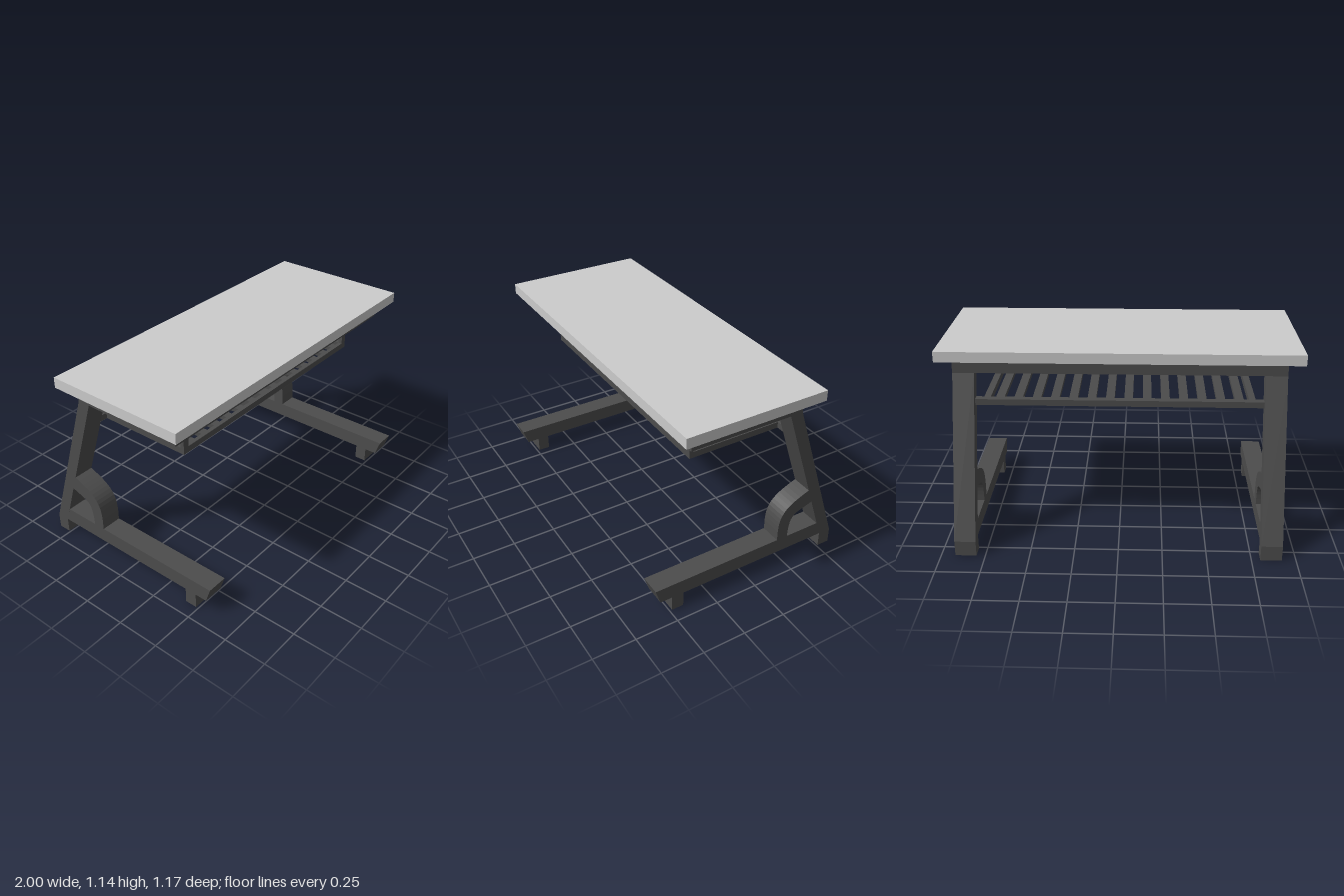
import * as THREE from 'three';

const dark = new THREE.MeshStandardMaterial({ color: 0x4c4c4c });
const grey = new THREE.MeshStandardMaterial({ color: 0xcccccc });

// Box given by its minimum and maximum on each axis
function box(name, [x0, x1], [y0, y1], [z0, z1], material = dark) {
  const mesh = new THREE.Mesh(new THREE.BoxGeometry(x1 - x0, y1 - y0, z1 - z0), material);
  mesh.name = name;
  mesh.position.set((x0 + x1) / 2, (y0 + y1) / 2, (z0 + z1) / 2);
  return mesh;
}

// Profile drawn in (z, y), extruded across x from -width/2 to width/2
function sidePiece(name, shape, width) {
  const geometry = new THREE.ExtrudeGeometry(shape, { depth: width, bevelEnabled: false, curveSegments: 12 });
  geometry.translate(0, 0, -width / 2);
  geometry.rotateY(-Math.PI / 2);
  const mesh = new THREE.Mesh(geometry, dark);
  mesh.name = name;
  return mesh;
}

const polygon = (points) => new THREE.Shape(points.map(([z, y]) => new THREE.Vector2(z, y)));

function sideFrame(name, x) {
  const frame = new THREE.Group();
  frame.name = name;
  frame.position.x = x;
  const width = 0.12;
  const half = [-width / 2, width / 2];

  // Leaning leg with its bottom corner over the rear foot
  frame.add(sidePiece('leg', polygon([
    [-0.18, 1.08], [-0.285, 1.08], [-0.285, 0.99], [-0.585, 0.09], [-0.51, 0.09], [-0.21, 0.99],
  ]), width));

  // Floor beam with a slanted front end
  frame.add(sidePiece('floorBeam', polygon([
    [0.585, 0.178], [-0.48, 0.178], [-0.51, 0.09], [0.556, 0.09],
  ]), width));

  // Curved brace between beam and leg
  const brace = new THREE.Shape();
  brace.moveTo(-0.197, 0.17);
  brace.lineTo(-0.197, 0.24);
  brace.bezierCurveTo(-0.2, 0.37, -0.26, 0.4, -0.392, 0.449);
  brace.lineTo(-0.43, 0.43);
  brace.lineTo(-0.43, 0.355);
  brace.lineTo(-0.418, 0.359);
  brace.bezierCurveTo(-0.3, 0.317, -0.272, 0.34, -0.266, 0.178);
  brace.lineTo(-0.266, 0.17);
  frame.add(sidePiece('brace', brace, width));

  frame.add(box('frontFoot', half, [0, 0.09], [0.415, 0.485]));
  frame.add(box('rearFoot', half, [0, 0.09], [-0.585, -0.51]));
  return frame;
}

function slattedShelf() {
  const shelf = new THREE.Group();
  shelf.name = 'shelf';
  const y = [0.81, 0.845];
  shelf.add(box('frontRail', [-0.755, 0.755], y, [0.265, 0.288]));
  shelf.add(box('backRail', [-0.8, 0.8], y, [-0.31, -0.268]));
  for (const side of [-1, 1]) {
    const x = side > 0 ? [0.718, 0.755] : [-0.755, -0.718];
    shelf.add(box('sideRail', x, y, [-0.268, 0.265]));
    shelf.add(box('hanger', x, [0.845, 0.99], [0.265, 0.288]));
  }
  // Evenly spaced slats running front to back
  const count = 14;
  for (let i = 0; i < count; i++) {
    const x = -0.718 + (1.436 * (i + 0.5)) / count;
    shelf.add(box('slat', [x - 0.024, x + 0.024], [0.815, 0.84], [-0.268, 0.265]));
  }
  return shelf;
}

export function createModel() {
  const desk = new THREE.Group();
  desk.name = 'desk';
  desk.add(box('tabletop', [-1, 1], [1.078, 1.138], [-0.362, 0.466], grey));
  desk.add(box('apron', [-0.92, 0.92], [0.99, 1.078], [-0.285, 0.387]));
  desk.add(slattedShelf());
  desk.add(sideFrame('leftFrame', 0.86), sideFrame('rightFrame', -0.86));
  return desk;
}
